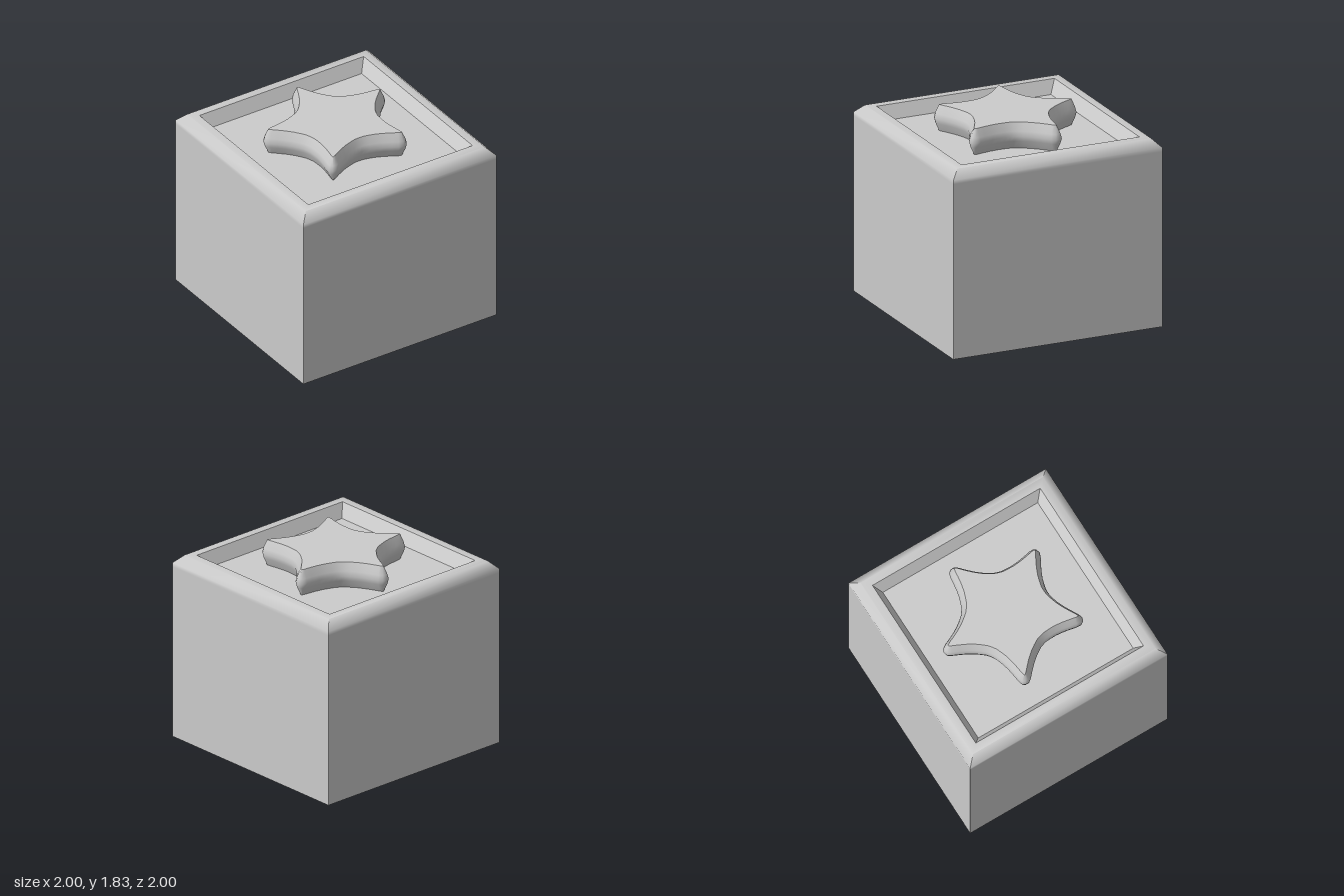
import * as THREE from 'three';
import { toCreasedNormals } from 'three/addons/utils/BufferGeometryUtils.js';

const material = new THREE.MeshStandardMaterial({ color: 0xcccccc });

// Skin closed rings of points together and fan a cap over each end.
function loft(rings, name) {
  const n = rings[0].length;
  const last = rings.length - 1;
  const tris = [];
  const centre = ring => new THREE.Vector3(0, ring[0].y, 0);
  for (let j = 0; j < n; j++) {
    const k = (j + 1) % n;
    for (let i = 0; i < last; i++) {
      const a = rings[i], b = rings[i + 1];
      tris.push(a[j], a[k], b[k], a[j], b[k], b[j]);
    }
    tris.push(centre(rings[0]), rings[0][k], rings[0][j]);
    tris.push(centre(rings[last]), rings[last][j], rings[last][k]);
  }
  const geometry = new THREE.BufferGeometry().setFromPoints(tris);
  const mesh = new THREE.Mesh(toCreasedNormals(geometry, THREE.MathUtils.degToRad(50)), material);
  mesh.name = name;
  return mesh;
}

const squareRing = ([h, y]) =>
  [[1, 1], [1, -1], [-1, -1], [-1, 1]].map(([x, z]) => new THREE.Vector3(x * h, y, z * h));

// Rounded five-pointed outline, counter-clockwise seen from above, one point towards -z.
function starOutline() {
  // Angle in degrees from a tip and radius, from tip to valley
  const half = [[0, 0.65], [3, 0.64], [5.5, 0.605], [8.5, 0.555], [13, 0.5],
    [19, 0.453], [25.5, 0.424], [31, 0.408], [36, 0.405]];
  const arm = [...half, ...half.slice(1, -1).reverse().map(([a, r]) => [72 - a, r])];
  const points = [];
  for (let i = 0; i < 5; i++) {
    for (const [a, r] of arm) {
      const t = THREE.MathUtils.degToRad(180 + 72 * i + a);
      points.push(new THREE.Vector2(Math.sin(t) * r, Math.cos(t) * r));
    }
  }
  return points;
}

// Outline moved inwards along its normals, at a given height
function starRing(outline, inset, y) {
  const n = outline.length;
  return outline.map((p, i) => {
    const t = outline[(i + 1) % n].clone().sub(outline[(i + n - 1) % n]).normalize();
    return new THREE.Vector3(p.x + t.y * inset, y, p.y - t.x * inset);
  });
}

export function createModel() {
  const group = new THREE.Group();
  group.name = 'starBlock';

  // Block: walls, bevelled rim, sloping recess walls and recess floor [half width, height]
  const blockProfile = [[1, 0], [1, 1.6], [1, 1.635], [0.925, 1.71], [0.85, 1.71], [0.785, 1.592]];
  group.add(loft(blockProfile.map(squareRing), 'block'));

  // Star standing on the recess floor, with bulging sides [inset, height]
  const outline = starOutline();
  const starProfile = [[0.045, 1.592], [0.012, 1.665], [0, 1.71], [0.012, 1.755], [0.045, 1.83]];
  group.add(loft(starProfile.map(([inset, y]) => starRing(outline, inset, y)), 'star'));

  return group;
}
